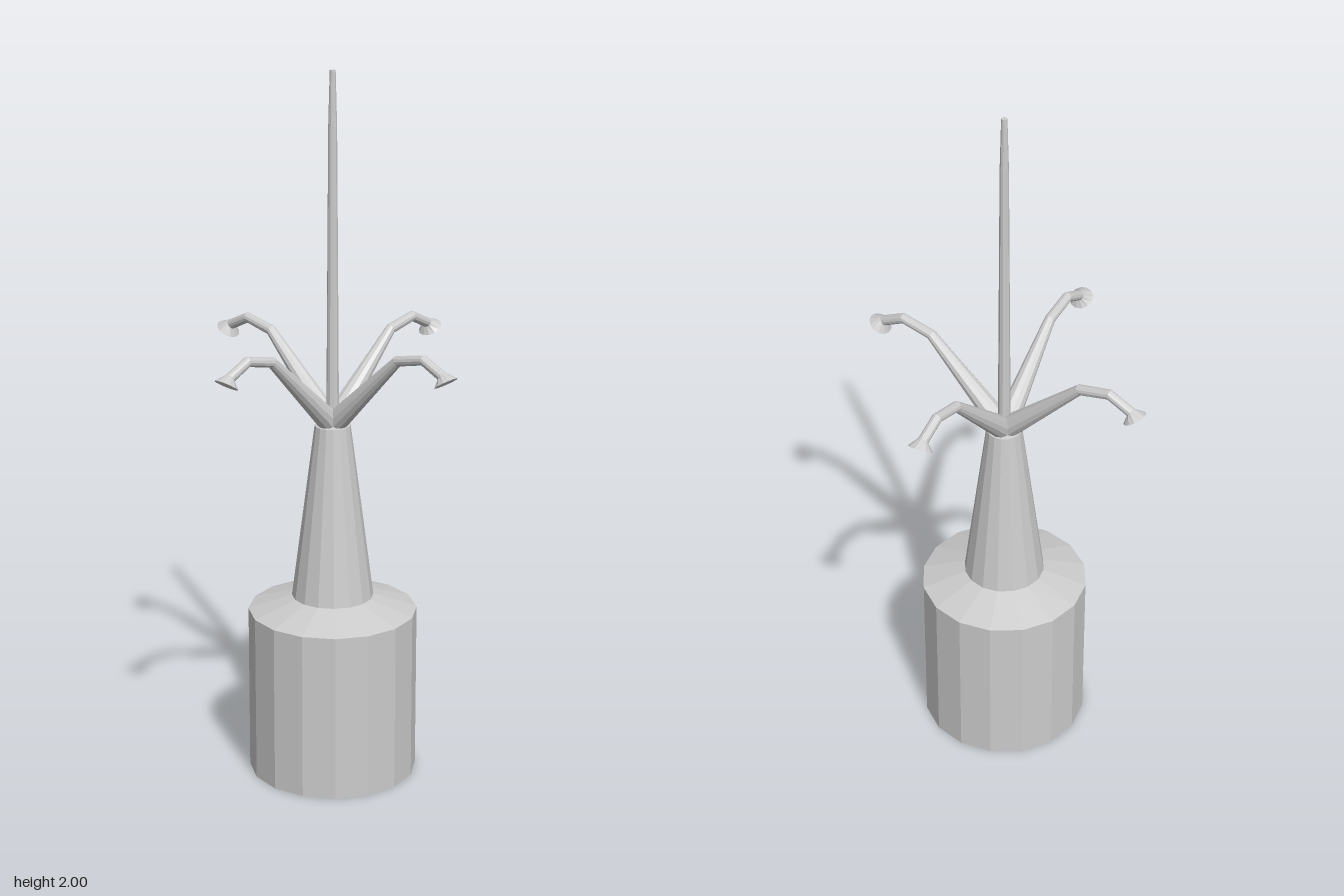
import * as THREE from 'three';

const material = new THREE.MeshStandardMaterial({ color: 0xcccccc, flatShading: true });

// Faceted solid of revolution from [radius, height] points, with a vertex on each axis
function turned(name, points, sides) {
  const profile = points.map(([r, y]) => new THREE.Vector2(r, y));
  const mesh = new THREE.Mesh(new THREE.LatheGeometry(profile, sides), material);
  mesh.name = name;
  return mesh;
}

// Closed tube in the xy plane; each section is [x, y, radius, heading angle]
function taperedTube(sections, sides) {
  const positions = [];
  const index = [];
  for (const [x, y, r, heading] of sections) {
    for (let i = 0; i < sides; i++) {
      const a = (i / sides) * Math.PI * 2;
      const across = r * Math.cos(a);
      positions.push(x - Math.sin(heading) * across, y + Math.cos(heading) * across, r * Math.sin(a));
    }
  }
  for (let s = 0; s < sections.length - 1; s++) {
    for (let i = 0; i < sides; i++) {
      const j = (i + 1) % sides;
      const a = s * sides + i, b = s * sides + j;
      index.push(a, b, a + sides, b, b + sides, a + sides);
    }
  }
  // End caps
  const last = (sections.length - 1) * sides;
  for (let i = 1; i < sides - 1; i++) {
    index.push(0, i + 1, i);
    index.push(last, last + i, last + i + 1);
  }
  const geometry = new THREE.BufferGeometry();
  geometry.setAttribute('position', new THREE.Float32BufferAttribute(positions, 3));
  geometry.setIndex(index);
  geometry.computeVertexNormals();
  return geometry;
}

export function createModel() {
  const model = new THREE.Group();
  model.name = 'fountain';

  // Drum base with sloping shoulder, then the tapering column
  model.add(turned('base', [[0, 0], [0.238, 0], [0.238, 0.48], [0.115, 0.52], [0, 0.52]], 16));
  model.add(turned('column', [[0, 0.52], [0.115, 0.52], [0.05, 1.02], [0, 1.03]], 16));

  // Slender central mast
  model.add(turned('mast', [[0, 1.0], [0.018, 1.0], [0.012, 1.85], [0.008, 2], [0, 2]], 10));

  // Four drooping arms ending in flared nozzles
  const armGeometry = taperedTube([
    [0.018, 1.038, 0.032, 0.75],
    [0.237, 1.248, 0.015, 0.5],
    [0.328, 1.268, 0.0145, -0.15],
    [0.393, 1.237, 0.0145, -0.6],
    [0.407, 1.22, 0.034, -1.0],
  ], 12);
  for (let i = 0; i < 4; i++) {
    const arm = new THREE.Mesh(armGeometry, material);
    arm.name = `arm${i + 1}`;
    arm.rotation.y = (i * Math.PI) / 2;
    model.add(arm);
  }
  return model;
}
